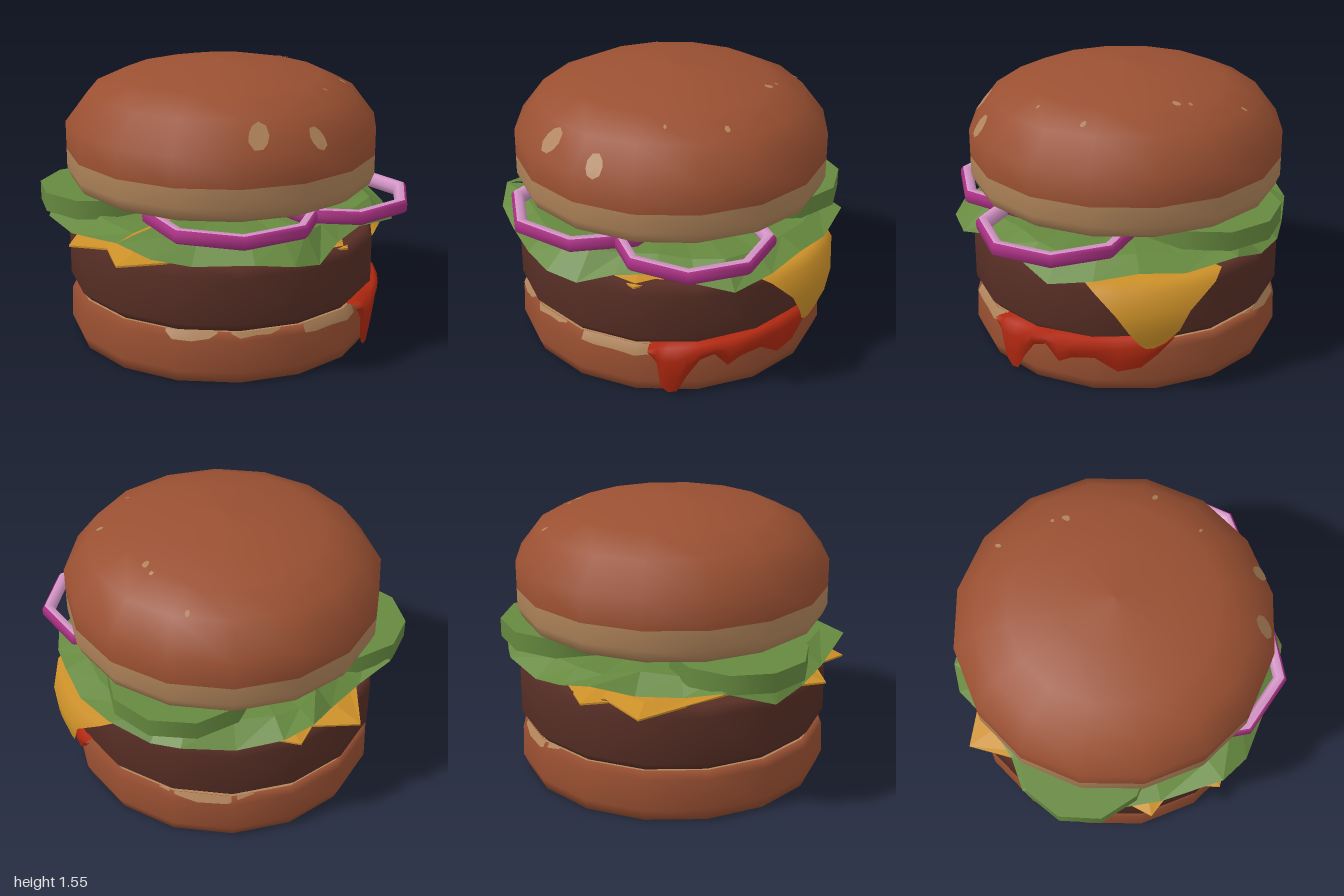
import * as THREE from 'three';

const mat = (name, color, side = THREE.FrontSide) =>
  Object.assign(new THREE.MeshStandardMaterial({ color, side }), { name });
const D = THREE.DoubleSide;
const M = {
  crust: mat('crust', 0x9a5032),
  crumb: mat('crumb', 0xb0845a, D),
  meat: mat('meat', 0x572e25),
  cheese: mat('cheese', 0xcc9028, D),
  lettuce: mat('lettuce', 0x66893f, D),
  ketchup: mat('ketchup', 0xb02810, D),
  onionSkin: mat('onion skin', 0xa83082),
  onionFlesh: mat('onion flesh', 0xd696c8),
};
const CZ = -0.025; // centre of the buns in z
const rad = THREE.MathUtils.degToRad;
const V = (x, y, z) => new THREE.Vector3(x, y, z);
const polar = (deg, r, y, z = CZ) => V(r * Math.sin(rad(deg)), y, z + r * Math.cos(rad(deg)));

function mesh(name, geometry, material) {
  const m = new THREE.Mesh(geometry, material);
  m.name = name;
  return m;
}

// Turned solid; pick(j) gives the material index of each profile segment
function turned(name, profile, sides, materials, pick, phi = 0) {
  const geo = new THREE.LatheGeometry(profile.map(p => new THREE.Vector2(...p)), sides, phi);
  const n = profile.length - 1;
  for (let i = 0; i < sides * n; i++) geo.addGroup(i * 6, 6, pick(i % n));
  return mesh(name, geo, materials);
}

// Surface through rows of points
function sheet(rows, flat = false) {
  const n = rows[0].length, index = [];
  for (let i = 0; i < rows.length - 1; i++)
    for (let j = 0; j < n - 1; j++) {
      const a = i * n + j, b = a + n;
      index.push(a, b, a + 1, b, b + 1, a + 1);
    }
  let geo = new THREE.BufferGeometry().setFromPoints(rows.flat());
  geo.setIndex(index);
  if (flat) geo = geo.toNonIndexed();
  geo.computeVertexNormals();
  return geo;
}

// Point just outside a sixteen-sided turned surface
function onSurface(profile, deg, y) {
  let r = 0;
  for (let i = 1; i < profile.length; i++) {
    const [r0, y0] = profile[i - 1], [r1, y1] = profile[i];
    if (y1 > y0 && y >= y0 && y <= y1) r = r0 + (r1 - r0) * (y - y0) / (y1 - y0);
  }
  const m = ((deg % 22.5) + 22.5) % 22.5 - 11.25;
  return polar(deg, r * Math.cos(rad(11.25)) / Math.cos(rad(m)) + 0.005, y + 0.004);
}

const bottomProfile = [[0, 0], [0.84, 0], [0.868, 0.07], [0.862, 0.24], [0.835, 0.285], [0, 0.285]];
const topProfile = [[0, 0.875], [0.8, 0.875], [0.84, 0.9], [0.865, 0.96], [0.865, 1.065], [0.865, 1.22],
  [0.735, 1.39], [0.555, 1.475], [0.3, 1.53], [0, 1.555]];
const pattyProfile = [[0, 0.285], [0.82, 0.285], [0.865, 0.335], [0.865, 0.59], [0.83, 0.645], [0, 0.645]];

// Square slice with drooping corners
function cheeseSlice(name, corners) {
  const rim = [];
  corners.forEach(([x, z], i) => {
    const [x2, z2] = corners[(i + 1) % 4];
    rim.push(V(x, 0.638, z), V((x + x2) * 0.56, 0.664, (z + z2) * 0.56));
  });
  rim.push(rim[0].clone());
  const ring = (s, y, mix) => rim.map(p => V(p.x * s, y + (p.y - y) * mix, p.z * s));
  return mesh(name, sheet([ring(0, 0.674, 0), ring(0.85, 0.669, 0), rim,
    rim.map(p => V(p.x, p.y - 0.01, p.z)), ring(0.85, 0.657, 0)], true), M.cheese);
}

function onionRing(name, x, z, r, phi) {
  const p = [[r - 0.02, 0.78], [r, 0.797], [r, 0.835], [r - 0.015, 0.855], [r - 0.055, 0.855],
    [r - 0.075, 0.82], [r - 0.055, 0.78], [r - 0.02, 0.78]];
  const ring = turned(name, p, 8, [M.onionSkin, M.onionFlesh], j => (j < 3 ? 0 : 1), phi);
  ring.position.set(x, 0, z);
  return ring;
}

export function createModel() {
  const g = new THREE.Group();
  g.name = 'hamburger';

  // Buns and patty
  const bottom = turned('bottomBun', bottomProfile, 16, [M.crust, M.crumb], j => (j === 4 ? 1 : 0));
  const top = turned('topBun', topProfile, 16, [M.crust, M.crumb], j => (j < 4 ? 1 : 0));
  const patty = turned('patty', pattyProfile, 16, [M.meat], () => 0);
  for (const m of [bottom, top, patty]) { m.position.z = CZ; g.add(m); }

  // Pale worn spots on the top bun: angle, height, half width in degrees, half height
  const spots = [[-38, 1.31, 4.2, 0.06], [-15, 1.27, 3.5, 0.052], [38, 1.42, 1.2, 0.01],
    [85, 1.476, 2, 0.006], [92, 1.468, 1.2, 0.005], [117, 1.4, 1, 0.008], [10, 1.44, 0.8, 0.006]];
  for (const [deg, y, w, h] of spots) {
    const ring = s => Array.from({ length: 10 }, (_, i) => {
      const a = i / 9 * Math.PI * 2, k = s * (1 + 0.12 * Math.sin(2 * a + deg));
      return onSurface(topProfile, deg + w * k * Math.cos(a), y + h * k * Math.sin(a));
    });
    g.add(mesh('bunSpot', sheet([ring(0), ring(0.5), ring(1)]), M.crumb));
  }

  // Pale ragged patches at the rim of the bottom bun: angle, lower edge
  const patches = [
    [[-72, 0.27], [-69, 0.24], [-62, 0.235], [-56, 0.25], [-53, 0.275]],
    [[-48, 0.275], [-45, 0.255], [-39, 0.262], [-34, 0.258], [-30, 0.275]],
    [[-21, 0.24], [-16, 0.228], [-8, 0.23], [0, 0.222], [6, 0.235]],
    [[107, 0.278], [115, 0.262], [122, 0.24], [133, 0.245], [143, 0.278]],
  ];
  for (const patch of patches) {
    const row = t => patch.map(([d, y]) => onSurface(bottomProfile, d, y + (0.284 - y) * t));
    g.add(mesh('rimPatch', sheet([row(1), row(0.5), row(0)]), M.crumb));
  }

  // Ketchup running down the bottom bun: angle, lower edge
  const drips = [[5, 0.265], [8, 0.2], [9.3, 0.05], [12, 0.015], [15, 0.022], [18.5, 0.12], [23, 0.215],
    [28, 0.24], [33, 0.155], [38, 0.195], [46, 0.21], [54, 0.135], [62, 0.16], [68, 0.235], [73, 0.32]];
  const rim = d => 0.285 + 0.06 * (d - 5) / 68;
  const drip = (r, t) => drips.map(([d, y]) => polar(d, r, rim(d) + (y - rim(d)) * t));
  g.add(mesh('ketchup', sheet([drip(0.8, 0), drip(0.875, 0), drip(0.9, 0.25), drip(0.895, 0.65),
    drip(0.878, 1)]), M.ketchup));

  // Cheese: two slices and the corner hanging over the patty
  g.add(cheeseSlice('lowerCheeseSlice', [[0.82, 0.3], [0.33, -0.86], [-0.89, -0.36], [-0.33, 0.8]]));
  g.add(cheeseSlice('upperCheeseSlice', [[0.85, 0], [0, -1], [-0.96, 0.05], [0, 0.83]]));
  const flap = [[0.6, 0.672, 0.45, 0], [0.87, 0.668, 0.63, -0.05], [0.925, 0.63, 0.62, 0.03],
    [0.965, 0.52, 0.555, 0.2], [0.955, 0.41, 0.49, 0.25], [0.93, 0.33, 0.43, 0.31], [0.925, 0.305, 0.4, 0.36]];
  g.add(mesh('cheeseFlap', sheet(flap.map(([r, y, z0, z1]) => Array.from({ length: 6 }, (_, i) => {
    const z = z0 + (z1 - z0) * i / 5;
    return V(Math.sqrt(r * r - z * z), y, z);
  }))), M.cheese));

  // Lettuce leaf with a wavy rim: x, height, z
  const leaf = [[-0.96, 0.765, 0.06], [-0.92, 0.71, 0.25], [-0.8, 0.675, 0.42], [-0.62, 0.69, 0.68],
    [-0.47, 0.67, 0.82], [-0.3, 0.64, 0.855], [-0.1, 0.7, 0.83], [0.12, 0.725, 0.82], [0.32, 0.69, 0.81],
    [0.52, 0.655, 0.79], [0.68, 0.69, 0.62], [0.8, 0.73, 0.42], [0.9, 0.715, 0.2], [0.96, 0.755, -0.08],
    [0.88, 0.68, -0.3], [0.82, 0.7, -0.46], [0.62, 0.67, -0.66], [0.44, 0.72, -0.83], [0.27, 0.75, -0.89],
    [0.05, 0.69, -0.84], [-0.2, 0.7, -0.84], [-0.41, 0.76, -0.89], [-0.66, 0.66, -0.75], [-0.77, 0.65, -0.46],
    [-0.86, 0.7, -0.28]].map(p => V(...p));
  leaf.push(leaf[0].clone());
  const leafRing = (s, y) => leaf.map((p, i) => V(p.x * s, y + (i % 2 && s ? 0.012 : 0), p.z * s));
  g.add(mesh('lettuce', sheet([leafRing(0, 0.76), leafRing(0.6, 0.765), leafRing(0.86, 0.768), leaf], true),
    M.lettuce));

  // Pickle slices
  for (const [x, y, z, r] of [[0.53, 0.822, -0.2, 0.4], [-0.44, 0.802, -0.51, 0.37]]) {
    const pickle = mesh('pickleSlice', new THREE.CylinderGeometry(r, r, 0.105, 10), M.lettuce);
    pickle.position.set(x, y, z);
    g.add(pickle);
  }

  // Onion rings
  g.add(onionRing('leftOnionRing', -0.35, 0.33, 0.48, 0));
  g.add(onionRing('frontOnionRing', 0.25, 0.565, 0.435, 0.16));
  return g;
}
